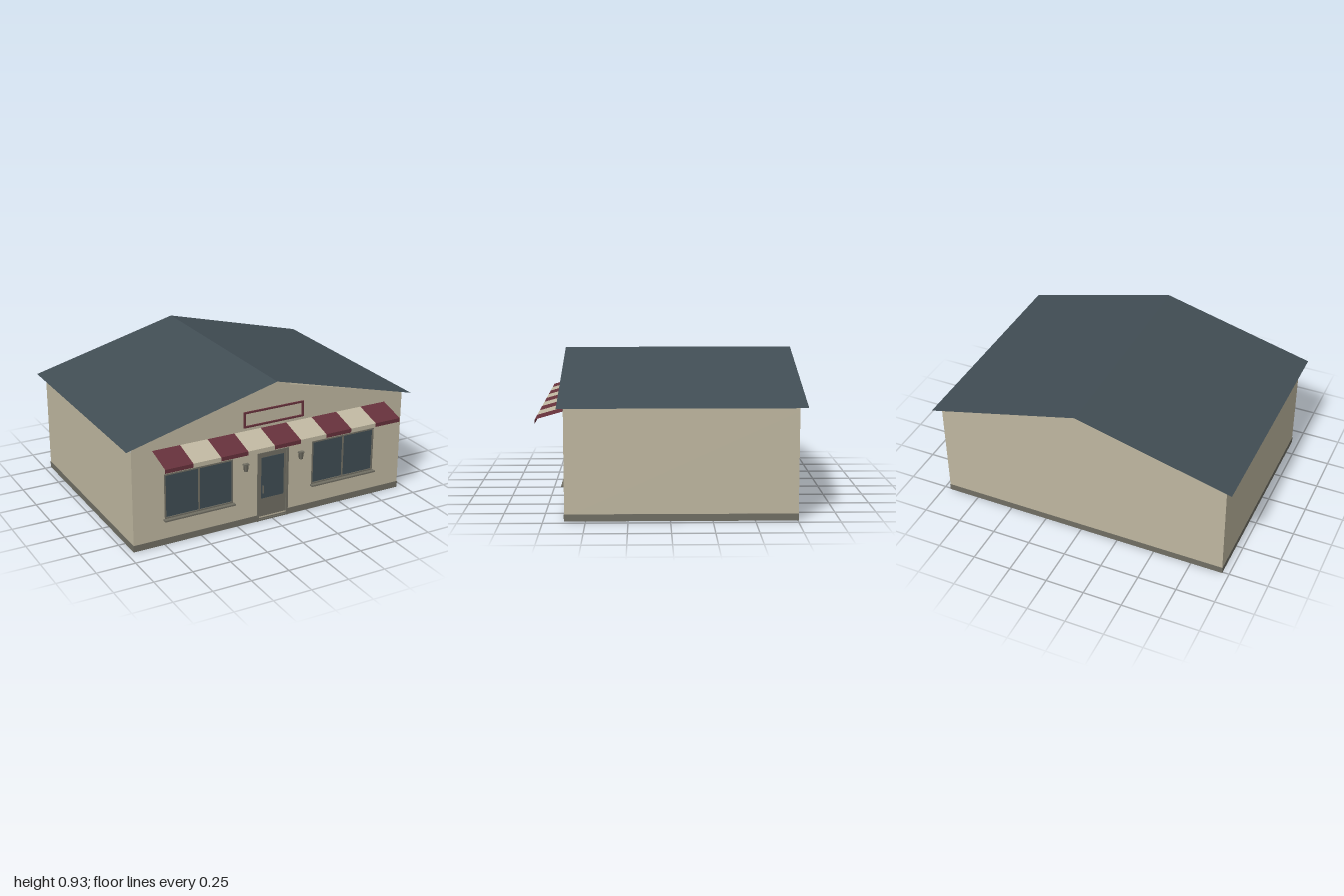
import * as THREE from 'three';

const mat = (name, color, side = THREE.FrontSide) => {
  const m = new THREE.MeshStandardMaterial({ color, side });
  m.name = name;
  return m;
};

export function createModel() {
  const D = THREE.DoubleSide;
  const wall = mat('beige wall', 0xbfb7a0, D);
  const roofMat = mat('slate roof', 0x414d54, D);
  const red = mat('maroon', 0x66313b, D);
  const trim = mat('grey trim', 0x706e63);
  const glass = mat('dark glass', 0x3f4c53, D);

  const model = new THREE.Group();
  model.name = 'shop';
  const W = 0.955, F = 0.625, B = -0.755, EAVE = 0.68, RIDGE = 0.91;

  const add = (name, geo, m, parent = model) => {
    const mesh = new THREE.Mesh(geo, m);
    mesh.name = name;
    parent.add(mesh);
    return mesh;
  };
  // Box given by its limits on each axis
  const box = (name, x0, x1, y0, y1, z0, z1, m, parent) => {
    const mesh = add(name, new THREE.BoxGeometry(x1 - x0, y1 - y0, z1 - z0), m, parent);
    mesh.position.set((x0 + x1) / 2, (y0 + y1) / 2, (z0 + z1) / 2);
    return mesh;
  };
  // Rectangular frame of four bars
  const frame = (name, x0, x1, y0, y1, z0, z1, t, m, parent) => {
    const g = new THREE.Group();
    g.name = name;
    (parent || model).add(g);
    box('leftBar', x0, x0 + t, y0, y1, z0, z1, m, g);
    box('rightBar', x1 - t, x1, y0, y1, z0, z1, m, g);
    box('topBar', x0 + t, x1 - t, y1 - t, y1, z0, z1, m, g);
    box('bottomBar', x0 + t, x1 - t, y0, y0 + t, z0, z1, m, g);
  };
  const poly = (pts) => pts.map(([x, y]) => new THREE.Vector2(x, y));
  const rect = (x0, x1, y0, y1) => new THREE.Path(poly([[x0, y0], [x0, y1], [x1, y1], [x1, y0]]));
  // Open sheet swept along x from a profile of [z, y] points
  const sheetX = (pts, x0, x1) => {
    const pos = [];
    for (let i = 0; i < pts.length - 1; i++) {
      const [za, ya] = pts[i], [zb, yb] = pts[i + 1];
      pos.push(x0, ya, za, x0, yb, zb, x1, yb, zb, x0, ya, za, x1, yb, zb, x1, ya, za);
    }
    const g = new THREE.BufferGeometry();
    g.setAttribute('position', new THREE.Float32BufferAttribute(pos, 3));
    g.computeVertexNormals();
    return g;
  };

  // Gable walls, the front one with window and door openings
  const gable = () => new THREE.Shape(poly([
    [-W, 0.02], [W, 0.02], [W, 0.65], [W - 0.005, EAVE], [0, RIDGE], [-W + 0.005, EAVE], [-W, 0.65],
  ]));
  const front = gable();
  front.holes.push(rect(-0.745, -0.285, 0.175, 0.465), rect(0.285, 0.745, 0.175, 0.465),
    rect(-0.1, 0.1, 0.03, 0.46));
  add('frontWall', new THREE.ShapeGeometry(front), wall).position.z = F;
  const back = add('backWall', new THREE.ShapeGeometry(gable()), wall);
  back.rotation.y = Math.PI;
  back.position.z = B;

  // Side walls
  for (const s of [1, -1]) {
    const side = new THREE.Shape(poly([
      [-0.69, 0.02], [0.69, 0.02], [0.69, 0.65], [0.685, EAVE], [-0.685, EAVE], [-0.69, 0.65],
    ]));
    const m = add(s > 0 ? 'leftWall' : 'rightWall', new THREE.ShapeGeometry(side), wall);
    m.rotation.y = s * Math.PI / 2;
    m.position.set(s * W, 0, (F + B) / 2);
  }

  // Plinth around the foot, open at the door
  const P = 0.002, T = 0.01, H = 0.042;
  box('backPlinth', -W - P, W + P, 0, H, B - P, B + T, trim);
  for (const s of [1, -1]) {
    const lo = Math.min(s * (W + P), s * (W - T)), hi = Math.max(s * (W + P), s * (W - T));
    box('sidePlinth', lo, hi, 0, H, B + T, F - T, trim);
    box('frontPlinth', s > 0 ? 0.105 : -W - P, s > 0 ? W + P : -0.105, 0, H, F - T, F + P, trim);
  }

  // Thin pitched roof
  const slope = new THREE.Group();
  slope.name = 'roof';
  model.add(slope);
  for (const s of [1, -1]) {
    const g = sheetX([[0, 0.933], [-s, 0.675]], -0.8, 0.663);
    g.rotateY(-Math.PI / 2);
    // after turning, the swept axis runs along z
    add(s > 0 ? 'leftSlope' : 'rightSlope', g, roofMat, slope);
  }

  // Windows
  for (const s of [1, -1]) {
    const w = new THREE.Group();
    w.name = s > 0 ? 'leftWindow' : 'rightWindow';
    w.position.x = s * 0.515;
    model.add(w);
    box('pane', -0.225, 0.225, 0.18, 0.46, F - 0.008, F - 0.002, glass, w);
    frame('windowFrame', -0.232, 0.232, 0.173, 0.467, F - 0.014, F + 0.004, 0.009, trim, w);
    box('mullion', -0.005, 0.005, 0.182, 0.458, F - 0.012, F + 0.003, trim, w);
    box('sill', -0.24, 0.24, 0.163, 0.173, F - 0.005, 0.653, trim, w);
  }

  // Door with glazed upper part
  const door = new THREE.Group();
  door.name = 'door';
  model.add(door);
  box('doorLeaf', -0.1, 0.1, 0.006, 0.458, F - 0.014, F - 0.004, trim, door);
  box('doorGlass', -0.08, 0.08, 0.152, 0.43, F - 0.0165, F - 0.0015, glass, door);
  for (const s of [1, -1]) box('jamb', s * 0.104 - 0.007, s * 0.104 + 0.007, 0, 0.466, F - 0.016, F + 0.006, trim, door);
  box('lintel', -0.097, 0.097, 0.454, 0.466, F - 0.016, F + 0.006, trim, door);
  box('threshold', -0.097, 0.097, 0, 0.01, F - 0.016, F + 0.004, trim, door);
  box('handle', -0.073, -0.067, 0.19, 0.24, F, F + 0.008, trim, door);

  // Wall lamps
  for (const s of [1, -1]) {
    const lamp = new THREE.Group();
    lamp.name = 'wallLamp';
    lamp.position.set(s * 0.197, 0, F);
    model.add(lamp);
    box('lampCap', -0.018, 0.018, 0.412, 0.421, 0, 0.022, trim, lamp);
    const body = add('lampBody', new THREE.CylinderGeometry(0.018, 0.013, 0.044, 4), trim, lamp);
    body.geometry.rotateY(Math.PI / 4);
    body.position.set(0, 0.392, 0.01);
  }

  // Empty sign frame on the gable
  frame('signFrame', -0.21, 0.21, 0.657, 0.76, F, F + 0.01, 0.011, red);

  // Striped awning with a short valance
  const awning = new THREE.Group();
  awning.name = 'awning';
  model.add(awning);
  const step = 1.64 / 9;
  for (let i = 0; i < 9; i++) {
    const x = -0.82 + i * step;
    add('awningStripe', sheetX([[F, 0.635], [0.8, 0.585], [0.8, 0.56]], x, x + step), i % 2 ? wall : red, awning);
  }
  return model;
}
